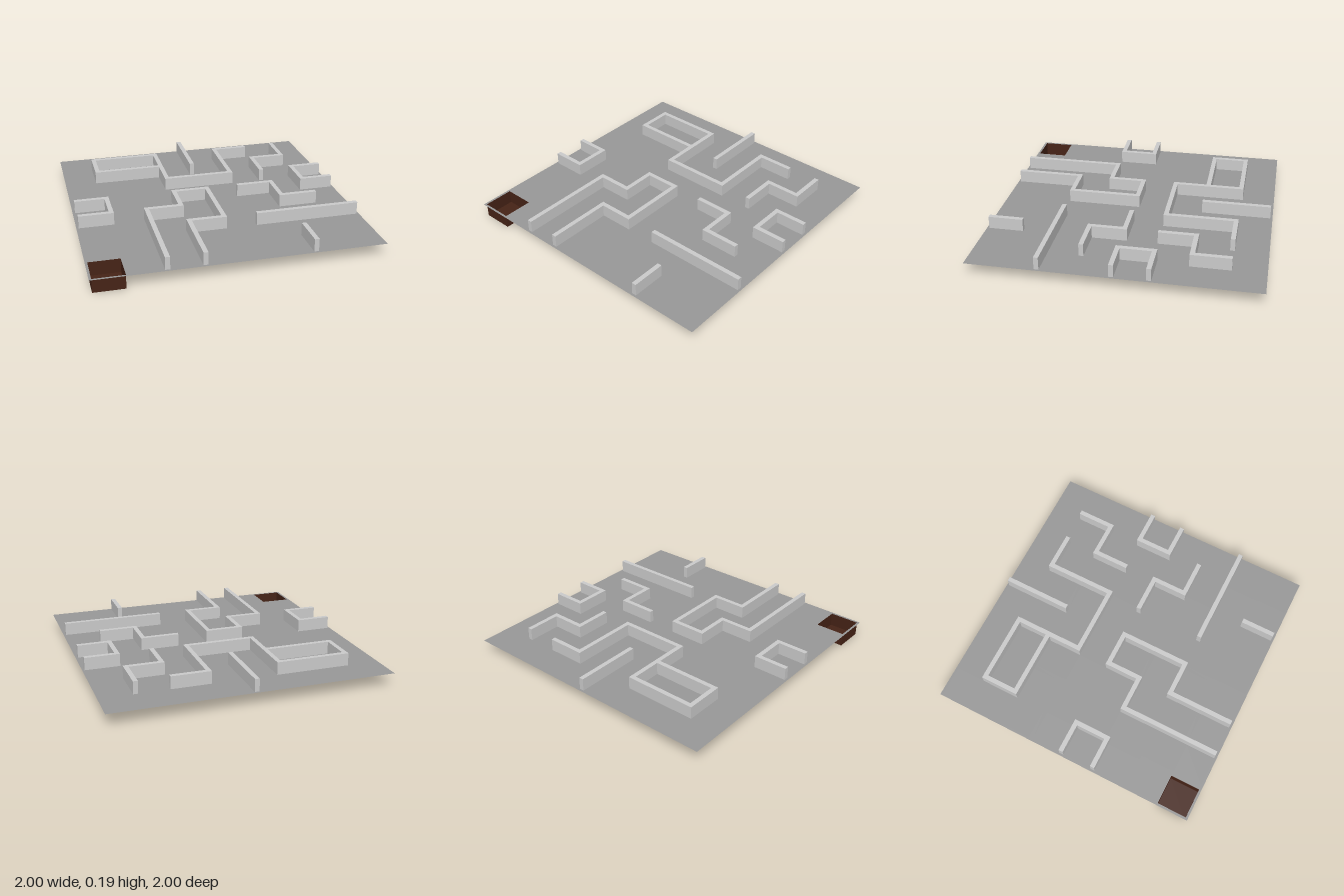
import * as THREE from 'three';

const H = 0.0165;            // half the wall thickness
const FLOOR = 0.1, TOP = 0.19;

// Grid lines: even strips are wall-thick node lines, odd strips the gaps between
const lines = [-1];
for (let k = -4; k <= 4; k++) {
  if (k > -4) lines.push(k / 4 - H);
  if (k < 4) lines.push(k / 4 + H);
}
lines.push(1);
const N = 17;

// Wall runs as corner points [column, row] on the strip grid
const runs = [
  [[6, 4], [2, 4], [2, 2], [6, 2], [6, 6], [10, 6], [10, 2], [12, 2]],
  [[8, 1], [8, 4]],
  [[14, 2], [14, 4], [12, 4], [12, 6]],
  [[15, 6], [14, 6], [14, 8], [15, 8]],
  [[1, 8], [2, 8], [2, 10], [1, 10]],
  [[4, 15], [4, 10], [6, 10], [6, 8], [8, 8], [8, 12], [6, 12], [6, 15]],
  [[10, 8], [12, 8], [12, 10], [14, 10]],
  [[10, 12], [15, 12]],
  [[12, 14], [12, 15]],
];
const pitCell = [1, 15];

const key = (i, j) => i + j * N;

// All grid cells covered by a run
function cellsOf(points) {
  const cells = new Set([key(...points[0])]);
  for (let n = 1; n < points.length; n++) {
    let [i, j] = points[n - 1];
    const [ti, tj] = points[n];
    while (i !== ti || j !== tj) {
      i += Math.sign(ti - i);
      j += Math.sign(tj - j);
      cells.add(key(i, j));
    }
  }
  return cells;
}

// Surface over a set of cells: a flat sheet at capY, plus sides from y0 to y1 around its outline
function cellGeometry(cells, capY, y0, y1) {
  const pos = [];
  const quad = (a, b, c, d) => pos.push(...a, ...b, ...c, ...a, ...c, ...d);
  for (const c of cells) {
    const i = c % N, j = Math.floor(c / N);
    const x0 = lines[i], x1 = lines[i + 1], z0 = lines[j], z1 = lines[j + 1];
    const corners = [[x0, z1], [x1, z1], [x1, z0], [x0, z0]];
    quad(...corners.map(([x, z]) => [x, capY, z]));
    if (y0 === y1) continue;
    const neighbours = [[i, j + 1], [i + 1, j], [i, j - 1], [i - 1, j]];
    neighbours.forEach((nb, s) => {
      if (cells.has(key(...nb))) return;
      const [px, pz] = corners[s], [qx, qz] = corners[(s + 1) % 4];
      quad([px, y0, pz], [qx, y0, qz], [qx, y1, qz], [px, y1, pz]);
    });
  }
  const g = new THREE.BufferGeometry();
  g.setAttribute('position', new THREE.Float32BufferAttribute(pos, 3));
  g.computeVertexNormals();
  return g;
}

export function createModel() {
  const model = new THREE.Group();
  model.name = 'maze';
  const material = (color) =>
    new THREE.MeshStandardMaterial({ color, side: THREE.DoubleSide });
  const add = (parent, name, geometry, mat) => {
    const mesh = new THREE.Mesh(geometry, mat);
    mesh.name = name;
    parent.add(mesh);
  };

  // Walls: hollow, open underneath
  const walls = new THREE.Group();
  walls.name = 'walls';
  model.add(walls);
  const wallMaterial = material(0xcccccc);
  const pit = new Set([key(...pitCell)]);
  const taken = new Set(pit);
  runs.forEach((points, n) => {
    const cells = cellsOf(points);
    cells.forEach((c) => taken.add(c));
    add(walls, 'wall' + (n + 1), cellGeometry(cells, TOP, FLOOR, TOP), wallMaterial);
  });

  // Floor: thin sheet cut out under the walls and over the pit
  const floorCells = new Set();
  for (let c = 0; c < N * N; c++) if (!taken.has(c)) floorCells.add(c);
  add(model, 'floor', cellGeometry(floorCells, FLOOR, FLOOR, FLOOR), material(0x999999));

  // Pit: open-topped box sunk below the corner
  add(model, 'pit', cellGeometry(pit, 0, 0, FLOOR), material(0x462316));

  return model;
}
